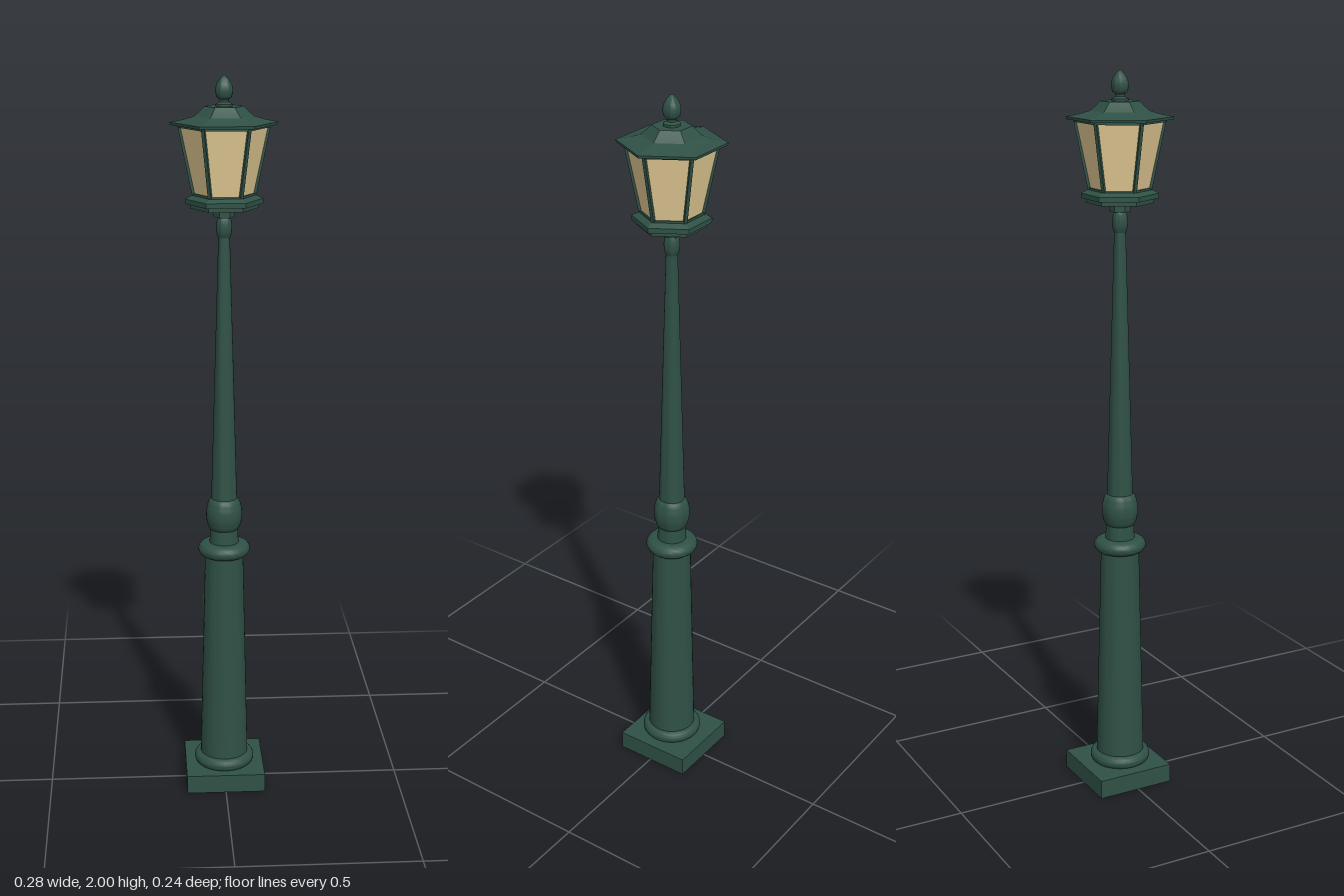
import * as THREE from 'three';
import { toCreasedNormals } from 'three/addons/utils/BufferGeometryUtils.js';

const green = new THREE.MeshStandardMaterial({ color: 0x2f5146 });
const amber = new THREE.MeshStandardMaterial({ color: 0xe8cf98 });

export function createModel() {
  const model = new THREE.Group();

  function add(name, geometry, material = green, parent = model) {
    const mesh = new THREE.Mesh(geometry, material);
    mesh.name = name;
    parent.add(mesh);
    return mesh;
  }

  // Turned part from [radius, height] pairs, listed bottom to top
  const turned = (points, sides = 32, crease = 0.6) => toCreasedNormals(
    new THREE.LatheGeometry(points.map(([r, y]) => new THREE.Vector2(r, y)), sides, Math.PI / 2), crease);

  // Six-sided part with corners on the x axis
  const hex = (points) => turned(points, 6, 0.2);

  // Half-round bulge profile between two heights
  function bulge(inner, outer, y0, y1, steps = 10) {
    const points = [];
    for (let i = 0; i <= steps; i++) {
      const a = (i / steps) * Math.PI;
      points.push([inner + (outer - inner) * Math.sin(a), (y0 + y1) / 2 - Math.cos(a) * (y1 - y0) / 2]);
    }
    return points;
  }

  // Square plinth
  add('plinth', new THREE.BoxGeometry(0.222, 0.053, 0.222)).position.set(0, 0.0265, -0.007);

  // Post
  add('footRing', turned([[0, 0.05], ...bulge(0.068, 0.085, 0.05, 0.086), [0, 0.086]]));
  add('lowerColumn', turned([[0.068, 0.06], [0.053, 0.70]]));
  add('collarRing', turned([[0, 0.688], ...bulge(0.05, 0.072, 0.688, 0.728), [0, 0.728]]));
  add('neck', turned([[0.041, 0.72], [0.038, 0.775]]));
  add('postKnob', turned(bulge(0.03, 0.05, 0.762, 0.858, 14)));
  add('upperPole', turned([[0.036, 0.84], [0.015, 1.60]]));
  add('topKnob', turned(bulge(0.01, 0.021, 1.575, 1.64)));
  add('lanternSocket', hex([[0, 1.635], [0.028, 1.635], [0.028, 1.662], [0, 1.662]]));

  // Lantern
  const lantern = new THREE.Group();
  lantern.name = 'lantern';
  model.add(lantern);
  add('lanternTray', hex([[0, 1.658], [0.09, 1.658], [0.09, 1.67], [0.103, 1.67],
    [0.103, 1.683], [0.086, 1.692], [0, 1.692]]), green, lantern);
  add('glass', hex([[0, 1.688], [0.078, 1.688], [0.118, 1.878], [0, 1.878]]), amber, lantern);

  // Slanted corner bars and the rails along the glass edges
  for (let i = 0; i < 6; i++) {
    const a = i * Math.PI / 3, b = a + Math.PI / 3;
    const at = (r, y, t) => new THREE.Vector3(r * Math.cos(t), y, r * Math.sin(t));
    const bars = [
      ['cornerBar', at(0.078, 1.685, a), at(0.118, 1.88, a)],
      ['lowerRail', at(0.079, 1.693, a), at(0.079, 1.693, b)],
      ['upperRail', at(0.117, 1.872, a), at(0.117, 1.872, b)],
    ];
    for (const [name, from, to] of bars) {
      const bar = add(name, new THREE.BoxGeometry(0.009, 0.009, from.distanceTo(to)), green, lantern);
      bar.position.addVectors(from, to).multiplyScalar(0.5);
      bar.lookAt(to);
    }
  }

  // Flared roof with a raised cap
  add('roof', hex([[0, 1.874], [0.14, 1.874], [0.141, 1.881], [0.105, 1.888], [0.078, 1.896],
    [0.064, 1.908], [0.051, 1.921], [0, 1.921]]), green, lantern);

  // Finial
  add('finial', turned([[0.022, 1.92], [0.022, 1.927], [0.012, 1.932], [0.012, 1.938], [0.02, 1.945],
    [0.023, 1.956], [0.023, 1.966], [0.02, 1.977], [0.013, 1.988], [0.006, 1.996], [0, 2]]), green, lantern);

  return model;
}
